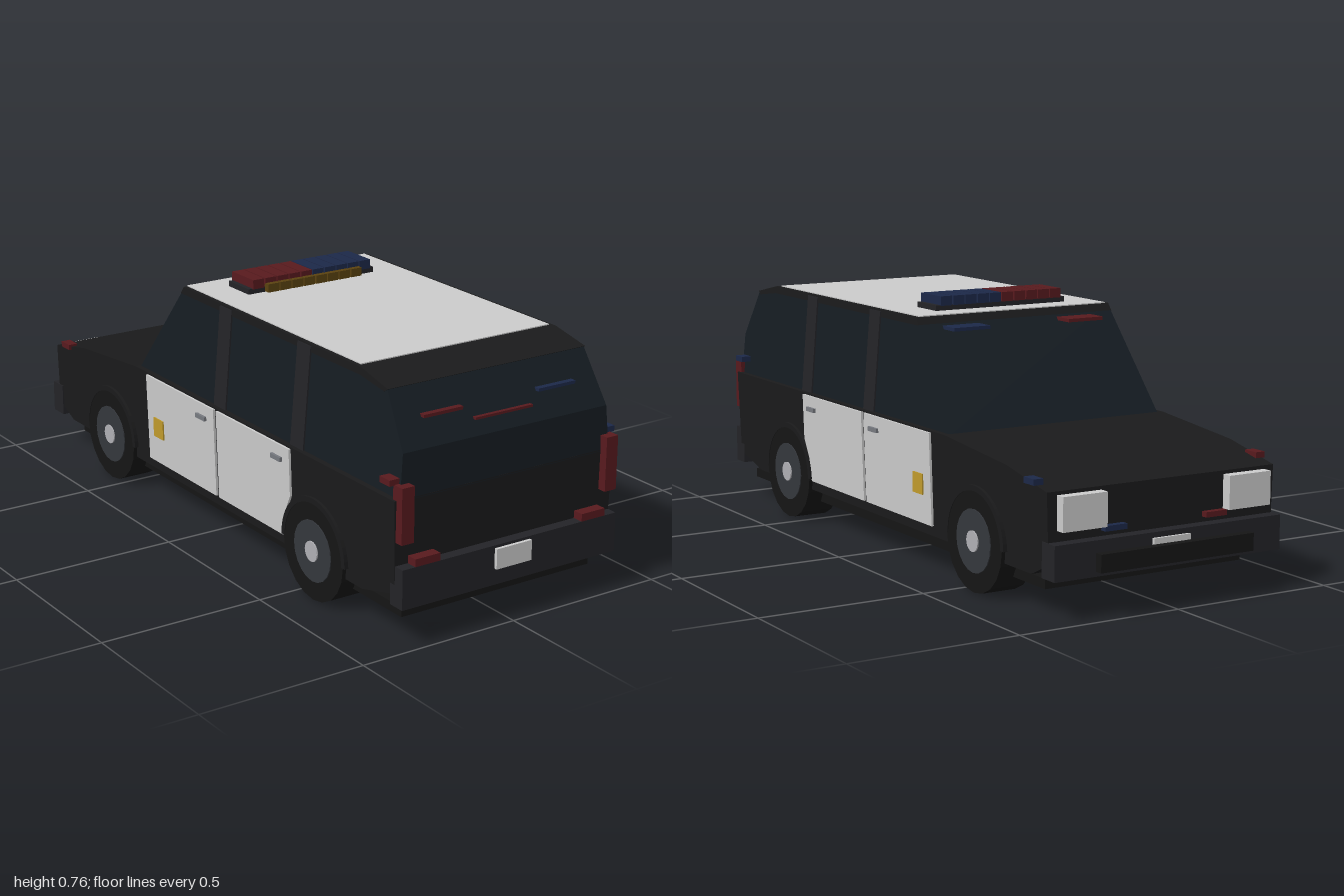
import * as THREE from 'three';

const paint = (color) => new THREE.MeshStandardMaterial({ color, flatShading: true });

export function createModel() {
  const car = new THREE.Group();
  car.name = 'patrolWagon';

  const body = paint(0x1a1a1b), glass = paint(0x151c22), trim = paint(0x232327);
  const white = paint(0xe8e8ea), red = paint(0x581a1e), blue = paint(0x1c2848);
  const amber = paint(0x5a4210), gold = paint(0xc09a2c), rubber = paint(0x151515);
  const rimGrey = paint(0x34373c), hubGrey = paint(0xb0b0b4), handleGrey = paint(0x777a80);

  function add(name, geometry, material) {
    const mesh = new THREE.Mesh(geometry, material);
    mesh.name = name;
    car.add(mesh);
    return mesh;
  }

  // Box given by its limits on each axis
  function box(name, material, x0, x1, y0, y1, z0, z1) {
    const mesh = add(name, new THREE.BoxGeometry(x1 - x0, y1 - y0, z1 - z0), material);
    mesh.position.set((x0 + x1) / 2, (y0 + y1) / 2, (z0 + z1) / 2);
    return mesh;
  }

  // Side profile of [z, y] points spanning the car, half width set by height
  function profile(name, material, points, halfWidth) {
    const shape = new THREE.Shape(points.map(([z, y]) => new THREE.Vector2(-z, y)));
    const geo = new THREE.ExtrudeGeometry(shape, { depth: 2, bevelEnabled: false });
    geo.translate(0, 0, -1);
    geo.rotateY(Math.PI / 2);
    const pos = geo.attributes.position;
    for (let i = 0; i < pos.count; i++) {
      pos.setX(i, Math.sign(pos.getX(i)) * halfWidth(pos.getY(i)));
    }
    geo.computeVertexNormals();
    return add(name, geo, material);
  }

  const lowerWidth = (y) => 0.364 + (y - 0.11) * 0.03;
  const cabinWidth = (y) => 0.356 - (y - 0.41) * 0.085;

  // Lower body with bonnet, and tapered cabin
  profile('lowerBody', body, [
    [0.80, 0.11], [0.95, 0.15], [0.955, 0.415], [-0.40, 0.415], [-0.73, 0.385],
    [-0.925, 0.345], [-0.925, 0.15], [-0.84, 0.11],
  ], lowerWidth);
  profile('cabinGlass', glass, [
    [-0.40, 0.41], [-0.17, 0.715], [0.74, 0.715], [0.86, 0.69], [0.95, 0.54], [0.955, 0.41],
  ], cabinWidth);
  profile('roofShell', body, [
    [-0.185, 0.695], [-0.17, 0.717], [0.74, 0.717], [0.865, 0.69], [0.85, 0.68], [0.74, 0.695],
  ], (y) => cabinWidth(y) + 0.002);
  box('roofPanel', white, -0.32, 0.32, 0.71, 0.72, -0.17, 0.725);
  for (const z of [0.475, 0.07]) {
    profile('pillar', trim, [[z - 0.032, 0.41], [z + 0.032, 0.41], [z + 0.032, 0.712], [z - 0.032, 0.712]],
      (y) => cabinWidth(y) + 0.005);
  }

  // White doors, the rear pair cut back around the wheels
  const doorWidth = (y) => 0.372 + (y - 0.14) * 0.03;
  profile('rearDoors', white, [
    [0.08, 0.14], [0.425, 0.14], [0.435, 0.21], [0.465, 0.27], [0.465, 0.41], [0.08, 0.41],
  ], doorWidth);
  profile('frontDoors', white, [[-0.325, 0.14], [0.065, 0.14], [0.065, 0.41], [-0.325, 0.41]], doorWidth);
  box('underbodyPlate', rubber, -0.324, 0.324, 0.064, 0.092, -0.845, 0.925);

  // Wheels with arch lips
  const arch = new THREE.Shape();
  arch.absarc(0, 0, 0.156, 0, Math.PI, false);
  arch.absarc(0, 0, 0.14, Math.PI, 0, true);
  const archGeo = new THREE.ExtrudeGeometry(arch, { depth: 0.02, bevelEnabled: false, curveSegments: 12 });
  archGeo.translate(0, 0, -0.01);
  archGeo.rotateY(Math.PI / 2);

  function disc(name, material, radius, x0, x1, side, z) {
    const geo = new THREE.CylinderGeometry(radius, radius, x1 - x0, 20);
    geo.rotateZ(Math.PI / 2);
    add(name, geo, material).position.set(side * (x0 + x1) / 2, 0.146, z);
  }

  for (const side of [-1, 1]) {
    const lamp = side < 0 ? red : blue;
    // Box on one side, with distances measured outwards
    const sideBox = (name, material, a, b, ...rest) =>
      box(name, material, Math.min(side * a, side * b), Math.max(side * a, side * b), ...rest);

    for (const z of [0.58, -0.565]) {
      disc('tyre', rubber, 0.146, 0.27, 0.376, side, z);
      disc('wheelRim', rimGrey, 0.09, 0.30, 0.379, side, z);
      disc('wheelHub', hubGrey, 0.03, 0.30, 0.383, side, z);
      add('wheelArch', archGeo, body).position.set(side * 0.368, 0.146, z);
    }

    // Door fittings
    sideBox('rearDoorHandle', handleGrey, 0.37, 0.387, 0.363, 0.376, 0.38, 0.43);
    sideBox('frontDoorHandle', handleGrey, 0.37, 0.387, 0.363, 0.376, -0.025, 0.025);
    sideBox('doorBadge', gold, 0.36, 0.38, 0.225, 0.285, -0.285, -0.23);

    // Tail and head lamps
    sideBox('tailLamp', red, 0.327, 0.367, 0.298, 0.457, 0.94, 0.98);
    sideBox('rearReflector', red, 0.243, 0.325, 0.228, 0.252, 0.94, 0.985);
    sideBox('headlamp', white, 0.20, 0.34, 0.24, 0.335, -0.955, -0.91);

    // Small signal lamps at corners, grille and windows
    sideBox('rearCornerSignal', lamp, 0.345, 0.383, 0.455, 0.472, 0.90, 0.945);
    sideBox('frontCornerSignal', lamp, 0.35, 0.38, 0.355, 0.372, -0.875, -0.825);
    sideBox('grilleSignal', lamp, 0.13, 0.20, 0.225, 0.24, -0.945, -0.91);
    sideBox('windscreenSignal', lamp, 0.135, 0.255, 0.68, 0.69, -0.255, -0.185);
    sideBox('rearWindowSignal', lamp, 0.128, 0.256, 0.611, 0.62, 0.88, 0.92);
  }
  box('centreBrakeLamp', red, -0.097, 0.097, 0.579, 0.586, 0.90, 0.935);

  // Bumpers, push bar and blank plates
  box('rearBumper', trim, -0.366, 0.366, 0.115, 0.23, 0.93, 0.985);
  box('rearPlate', white, -0.06, 0.06, 0.163, 0.222, 0.98, 0.995);
  box('frontBumper', trim, -0.37, 0.37, 0.112, 0.21, -0.962, -0.90);
  box('frontPlate', white, -0.06, 0.06, 0.14, 0.195, -0.97, -0.955);
  box('pushBar', rubber, -0.25, 0.25, 0.13, 0.18, -1, -0.975);
  for (const x of [-0.18, 0.18]) box('pushBarMount', rubber, x - 0.015, x + 0.015, 0.14, 0.17, -0.98, -0.95);

  // Roof light bar: ten domes and an amber row behind them
  box('lightBarBase', trim, -0.222, 0.222, 0.718, 0.736, -0.095, 0.015);
  for (let i = 0; i < 10; i++) {
    const x = (i - 4.5) * 0.042;
    box('lightBarDome', i < 5 ? red : blue, x - 0.019, x + 0.019, 0.734, 0.762, -0.098, 0.018);
    if (i > 0 && i < 9) box('amberLamp', amber, x - 0.019, x + 0.019, 0.722, 0.747, 0.01, 0.035);
  }
  return car;
}
